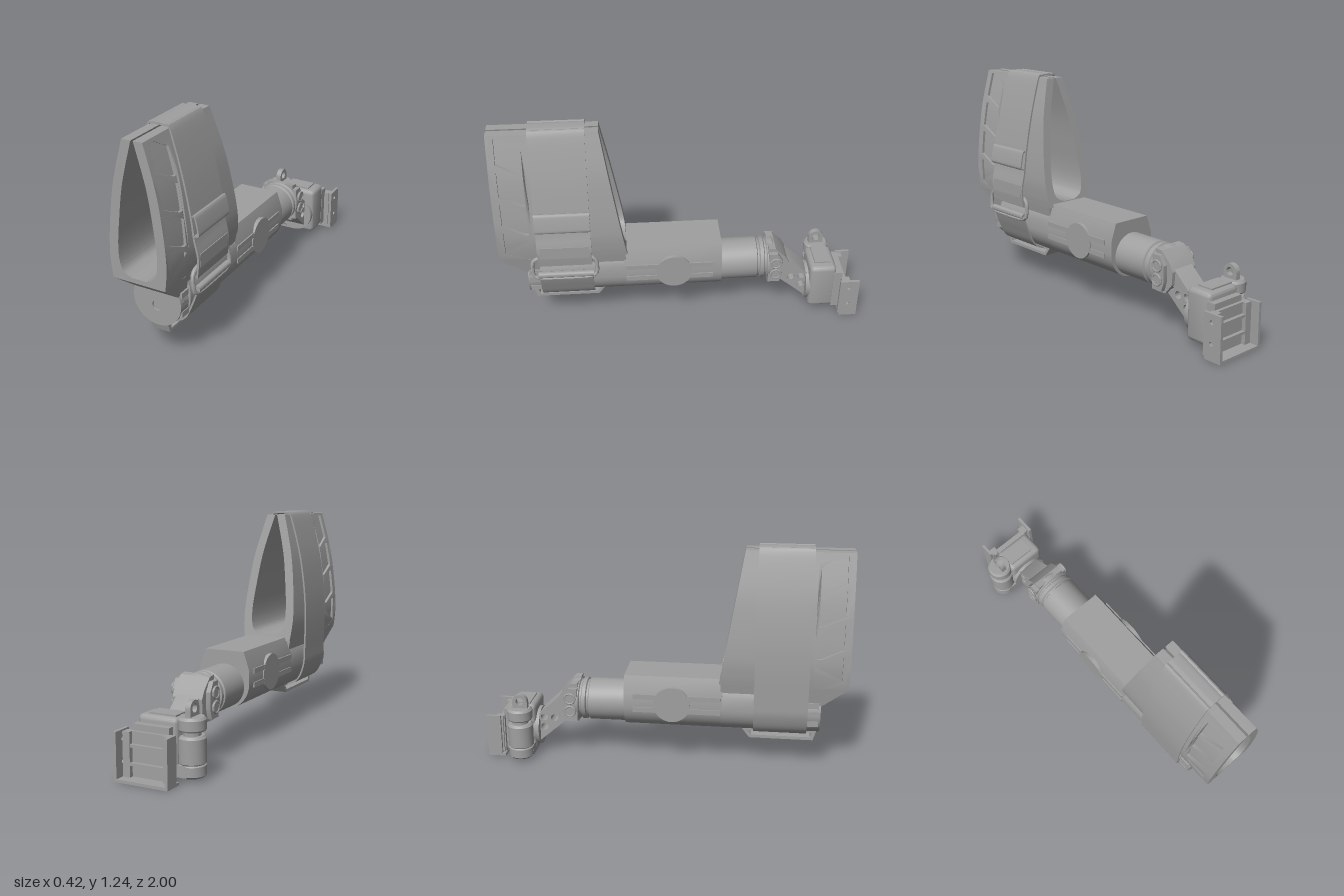
import * as THREE from 'three';
import { toCreasedNormals } from 'three/addons/utils/BufferGeometryUtils.js';
import { RoundedBoxGeometry } from 'three/addons/geometries/RoundedBoxGeometry.js';

const V2 = (x, y) => new THREE.Vector2(x, y);
const lerp = THREE.MathUtils.lerp;

// smooth half-width lookup from a few [y, halfWidth] points, listed top to bottom
function widthRule(table) {
  const pts = new THREE.SplineCurve(table.map(([y, x]) => V2(x, y))).getPoints(40);
  const at = y => {
    for (let i = 1; i < pts.length; i++) {
      const a = pts[i - 1], b = pts[i];
      if (y >= b.y) return lerp(a.x, b.x, Math.max(0, (a.y - y) / (a.y - b.y)));
    }
    return pts[pts.length - 1].x;
  };
  return { pts, at };
}
const outer = widthRule([[1.22, 0.056], [1.0, 0.115], [0.8, 0.145], [0.65, 0.157], [0.56, 0.153], [0.5, 0.145]]);
const inner = widthRule([[1.22, 0.006], [1.0, 0.065], [0.8, 0.095], [0.68, 0.107], [0.6, 0.104], [0.55, 0.085], [0.525, 0.04]]);

// extrude a shape in xy along z from z0 to z1
function slab(shape, z0, z1) {
  return new THREE.ExtrudeGeometry(shape, { depth: z1 - z0, bevelEnabled: false, curveSegments: 20 }).translate(0, 0, z0);
}
// extrude a (-z, y) side outline along x
function sideSlab(shape, x0, x1) {
  return slab(shape, x0, x1).rotateY(Math.PI / 2);
}
// extrude with front and back ends that depend on height
function slanted(shape, back, front) {
  const g = slab(shape, 0, 1), p = g.attributes.position;
  for (let i = 0; i < p.count; i++) p.setZ(i, lerp(back(p.getY(i)), front(p.getY(i)), p.getZ(i)));
  return g;
}
// strip of even thickness following a path in xy
function ribbon(points, t, z0, z1) {
  const pts = new THREE.SplineCurve(points.map(p => V2(...p))).getPoints(points.length * 5);
  const side = k => pts.map((p, i) => {
    const d = pts[Math.min(i + 1, pts.length - 1)].clone().sub(pts[Math.max(i - 1, 0)]).normalize();
    return V2(p.x - d.y * k, p.y + d.x * k);
  });
  return slab(new THREE.Shape([...side(t / 2), ...side(-t / 2).reverse()]), z0, z1);
}
// mirror a non-indexed geometry across x
function mirrorX(g) {
  const m = g.clone(), p = m.attributes.position;
  for (let i = 0; i < p.count; i += 3) [0, 2, 1].forEach((k, j) =>
    p.setXYZ(i + j, -g.attributes.position.getX(i + k), g.attributes.position.getY(i + k), g.attributes.position.getZ(i + k)));
  return m;
}
const polygon = pts => new THREE.Shape(pts.map(p => V2(...p)));
const circleHole = (x, y, r) => new THREE.Path().absarc(x, y, r, 0, Math.PI * 2, true);

export function createModel() {
  const model = new THREE.Group();
  const grey = new THREE.MeshStandardMaterial({ color: 0xa0a0a0 });
  grey.name = 'plainGrey';
  grey.side = THREE.DoubleSide;
  const add = (name, geo, x = 0, y = 0, z = 0) => {
    const mesh = new THREE.Mesh(toCreasedNormals(geo, 0.5), grey);
    mesh.name = name;
    mesh.position.set(x, y, z);
    model.add(mesh);
  };
  const box = (name, w, h, d, x, y, z) => add(name, new THREE.BoxGeometry(w, h, d), x, y, z);

  // cuff: U-shaped arm rest, open along the top
  const cuffShape = inset => {
    const out = outer.pts.map(p => V2(p.x - Math.min(inset, p.x * 0.25), p.y));
    const flip = a => a.map(p => V2(-p.x, p.y)).reverse();
    return new THREE.Shape([...out, ...flip(out), ...[...inner.pts].map(p => V2(-p.x, p.y)), ...[...inner.pts].reverse()]);
  };
  const backEdge = y => lerp(0.31, 0.43, Math.max(0, (y - 0.5) / 0.72));
  add('cuff', slanted(cuffShape(0), backEdge, () => 0.81));
  add('cuffFrontCore', slanted(cuffShape(0.015), () => 0.81, () => 1));
  add('cuffChin', slanted(polygon([[-0.125, 0.39], [0.125, 0.39], [0.145, 0.5], [-0.145, 0.5]]),
    () => 0.32, y => lerp(0.86, 1, (y - 0.39) / 0.11)));

  // windowed skin on the front part of each cuff wall
  const ys = Array.from({ length: 25 }, (_, i) => lerp(1.22, 0.5, i / 24));
  const panel = new THREE.Shape([...ys.map(y => V2(-1, y)), ...[...ys].reverse().map(y => V2(-0.8, y))]);
  for (let i = 0; i < 4; i++) {
    const t = 1.205 - i * 0.174;
    panel.holes.push(new THREE.Path([[-0.96, t], [-0.925, t], [-0.825, t - 0.055], [-0.825, t - 0.19], [-0.845, t - 0.19], [-0.96, t - 0.135]]
      .map(p => V2(...p))));
  }
  const skin = sideSlab(panel, 0, 0.016), sp = skin.attributes.position;
  for (let i = 0; i < sp.count; i++) sp.setX(i, sp.getX(i) + outer.at(sp.getY(i)) - 0.016);
  add('cuffWindowPanelLeft', skin);
  add('cuffWindowPanelRight', mirrorX(skin));

  // main body: round underside, flat roofed rear half
  const bodyShape = (top, topHalf) => {
    const s = new THREE.Shape();
    s.moveTo(-topHalf, top);
    s.lineTo(-0.148, 0.42);
    s.lineTo(-0.148, 0.35);
    s.absarc(0, 0.35, 0.148, Math.PI, Math.PI * 2, false);
    s.lineTo(0.148, 0.42);
    s.lineTo(topHalf, top);
    return s;
  };
  add('rearBody', slab(bodyShape(0.52, 0.115), -0.21, 0.33));
  add('frontBody', slab(bodyShape(0.45, 0.135), 0.32, 0.79));
  const cap = new THREE.Shape();
  cap.absarc(0, 0.34, 0.138, Math.PI * 0.85, Math.PI * 2.15, false);
  cap.holes.push(circleHole(0, 0.31, 0.028));
  add('frontCap', slab(cap, 0.78, 0.86));
  add('capScrew', new THREE.CylinderGeometry(0.028, 0.028, 0.05, 20).rotateX(Math.PI / 2), 0, 0.31, 0.825);

  // side buttons, rails and front grips
  for (const s of [1, -1]) {
    add('sideDisc', new THREE.CylinderGeometry(0.1, 0.1, 0.03, 32).rotateZ(Math.PI / 2), s * 0.14, 0.37, 0.055);
    for (const y of [0.41, 0.335]) box('sideRail', 0.02, 0.028, 0.48, s * 0.144, y, 0.08);
    for (const y of [0.29, 0.345, 0.395]) box('capGrip', 0.02, 0.03, 0.06, s * 0.128, y, 0.82);
  }

  // strap around cuff and body, with buckle on the left side
  add('strap', ribbon([[0.188, 0.48], [0.196, 0.58], [0.176, 0.68], [0.16, 0.8], [0.12, 1.0], [0.062, 1.21], [0.035, 1.23], [0, 1.233],
    [-0.035, 1.23], [-0.062, 1.21], [-0.12, 1.0], [-0.151, 0.8], [-0.162, 0.62], [-0.158, 0.42], [-0.15, 0.32], [-0.105, 0.23],
    [0, 0.192], [0.105, 0.23], [0.155, 0.32], [0.192, 0.42]], 0.01, 0.5, 0.79));
  add('strapTail', ribbon([[0.168, 0.8], [0.182, 0.8], [0.198, 0.73], [0.198, 0.705], [0.178, 0.7]], 0.008, 0.5, 0.79));
  const ring = [[0.19, 0.42, 0.48], [0.195, 0.4, 0.53], [0.195, 0.4, 0.77], [0.19, 0.42, 0.82],
    [0.182, 0.5, 0.82], [0.178, 0.53, 0.77], [0.178, 0.53, 0.53], [0.182, 0.5, 0.48]].map(p => new THREE.Vector3(...p));
  add('buckleRing', new THREE.TubeGeometry(new THREE.CatmullRomCurve3(ring, true, 'catmullrom', 0.3), 48, 0.011, 8, true));
  add('buckleBar', new THREE.CylinderGeometry(0.018, 0.018, 0.3, 16).rotateX(Math.PI / 2), 0.19, 0.42, 0.645);
  box('bucklePlate', 0.012, 0.07, 0.26, 0.196, 0.57, 0.645);

  // strap guide below the body
  const guide = polygon([[-0.85, 0.22], [-0.83, 0.155], [-0.48, 0.155], [-0.43, 0.22]]);
  guide.holes.push(new THREE.Path([[-0.82, 0.2], [-0.815, 0.172], [-0.49, 0.172], [-0.465, 0.2]].map(p => V2(...p))));
  add('strapGuide', sideSlab(guide, -0.05, 0.05));

  // round rear tube with grooved collar
  const tube = [[0, -0.53], [0.1, -0.53], [0.118, -0.505], [0.118, -0.475], [0.108, -0.47], [0.108, -0.46], [0.118, -0.455],
    [0.118, -0.435], [0.108, -0.43], [0.108, -0.42], [0.118, -0.415], [0.118, -0.2], [0, -0.2]];
  add('rearTube', new THREE.LatheGeometry(tube.map(p => V2(...p)), 40).rotateX(Math.PI / 2), 0, 0.33, 0);

  // hinge knuckle and its bolts
  const knuckle = polygon([[0.48, 0.215], [0.55, 0.215], [0.595, 0.27], [0.6, 0.34], [0.575, 0.385], [0.52, 0.44], [0.48, 0.445]]);
  add('hingeKnuckle', sideSlab(knuckle, -0.085, 0.085));
  for (const s of [1, -1]) {
    const cheek = polygon([[0.48, 0.23], [0.545, 0.23], [0.56, 0.28], [0.56, 0.37], [0.53, 0.42], [0.48, 0.42]]);
    add('hingeCheek', sideSlab(cheek, s * 0.095 - 0.015, s * 0.095 + 0.015));
    for (const y of [0.365, 0.29]) {
      add('hingeBolt', new THREE.CylinderGeometry(0.026, 0.026, 0.03, 20).rotateZ(Math.PI / 2), s * 0.107, y, -0.52);
      add('boltRim', new THREE.TorusGeometry(0.029, 0.006, 8, 24).rotateY(Math.PI / 2), s * 0.12, y, -0.52);
    }
  }

  // perforated strut down to the head
  const strut = polygon([[0.54, 0.225], [0.57, 0.2], [0.72, 0.07], [0.72, 0.235], [0.59, 0.355], [0.54, 0.37]]);
  for (const [x, y] of [[0.62, 0.275], [0.622, 0.222], [0.682, 0.225], [0.682, 0.165], [0.575, 0.26]]) strut.holes.push(circleHole(x, y, 0.021));
  add('strut', sideSlab(strut, -0.065, 0.065));

  // clamp head
  add('head', new RoundedBoxGeometry(0.22, 0.28, 0.15, 3, 0.025), 0.005, 0.17, -0.8);
  add('headCollar', new THREE.CylinderGeometry(0.11, 0.11, 0.03, 32).rotateX(Math.PI / 2), 0, 0.15, -0.722);
  box('headTopPad', 0.15, 0.012, 0.09, -0.01, 0.312, -0.8);
  box('headNeck', 0.2, 0.24, 0.05, 0.015, 0.15, -0.885);
  box('headArm', 0.14, 0.06, 0.14, -0.08, 0.055, -0.8);
  const knob = [[0, 0.02], [0.06, 0.02], [0.07, 0.03], [0.07, 0.078], [0.064, 0.084], [0.07, 0.09], [0.07, 0.21], [0.06, 0.222], [0.045, 0.222],
    [0.045, 0.245], [0.066, 0.245], [0.07, 0.252], [0.07, 0.3], [0.06, 0.312], [0, 0.312]];
  add('clampKnob', new THREE.LatheGeometry(knob.map(p => V2(...p)), 32), -0.145, 0, -0.8);
  const eye = new THREE.Shape();
  eye.moveTo(0.753, 0.305);
  eye.lineTo(0.837, 0.305);
  eye.absarc(0.795, 0.348, 0.042, 0, Math.PI, false);
  eye.holes.push(circleHole(0.795, 0.35, 0.022));
  add('eyelet', sideSlab(eye, -0.158, -0.128));

  // rear mounting channel
  box('channelWeb', 0.25, 0.225, 0.025, 0.02, 0.125, -0.915);
  box('channelFloor', 0.3, 0.015, 0.1, 0.02, 0.0075, -0.95);
  const flange = polygon([[0.89, 0.02], [0.94, 0], [1, 0], [1, 0.245], [0.89, 0.245]]);
  for (const y of [0.09, 0.2]) flange.holes.push(circleHole(0.94, y, 0.012));
  add('channelFlangeLeft', sideSlab(flange, 0.153, 0.17));
  add('channelFlangeRight', sideSlab(polygon([[0.92, 0], [1, 0], [1, 0.245], [0.92, 0.245]]), -0.13, -0.115));
  for (const x of [-0.095, 0.13]) box('channelRail', 0.04, 0.225, 0.04, x, 0.125, -0.93);
  for (const y of [0.08, 0.17]) box('channelRib', 0.22, 0.015, 0.025, 0.02, y, -0.935);
  return model;
}
